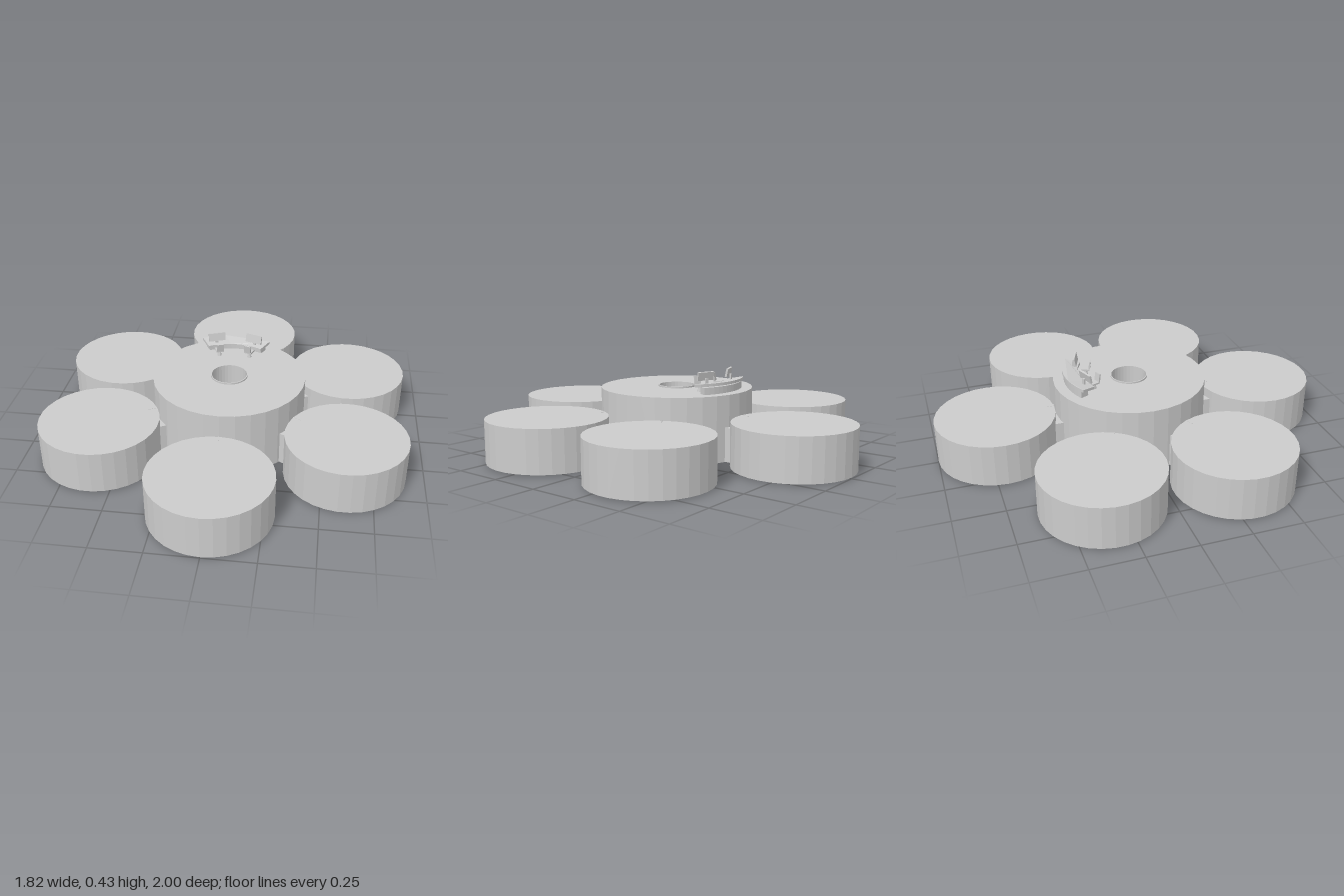
import * as THREE from 'three';

const grey = new THREE.MeshStandardMaterial({ color: 0xcccccc, flatShading: true, side: THREE.DoubleSide });
grey.name = 'light grey';

function add(parent, name, geometry, x = 0, y = 0, z = 0) {
  const mesh = new THREE.Mesh(geometry, grey);
  mesh.name = name;
  mesh.position.set(x, y, z);
  parent.add(mesh);
  return mesh;
}

// Curved slab centred on the back of the hub
function arcSlab(inner, outer, halfAngle, height) {
  const shape = new THREE.Shape();
  shape.absarc(0, 0, outer, Math.PI / 2 - halfAngle, Math.PI / 2 + halfAngle, false);
  shape.absarc(0, 0, inner, Math.PI / 2 + halfAngle, Math.PI / 2 - halfAngle, true);
  shape.closePath();
  return new THREE.ExtrudeGeometry(shape, { depth: height, bevelEnabled: false, curveSegments: 6 })
    .rotateX(-Math.PI / 2);
}

export function createModel() {
  const model = new THREE.Group();
  model.name = 'modularBase';

  // Central hub with an open shaft and a low rim
  const profile = [[0, 0], [0.39, 0], [0.39, 0.33], [0.095, 0.33], [0.095, 0.338],
    [0.09, 0.338], [0.09, 0.01], [0, 0.01]].map(([r, y]) => new THREE.Vector2(r, y));
  add(model, 'hub', new THREE.LatheGeometry(profile, 32));

  // Six round pods, each with a short passage to the hub
  const centres = [[0, 0.7], [0.61, 0.325], [0.61, -0.325], [0, -0.7], [-0.61, -0.325], [-0.61, 0.325]];
  for (const [x, z] of centres) {
    const pod = new THREE.Group();
    pod.name = 'pod';
    pod.rotation.y = Math.atan2(x, z);
    model.add(pod);
    const distance = Math.hypot(x, z);
    add(pod, 'podDrum', new THREE.CylinderGeometry(0.3, 0.3, 0.215, 32), 0, 0.1125, distance);
    add(pod, 'passage', new THREE.BoxGeometry(0.2, 0.17, 0.12), 0, 0.086, 0.39);
    add(pod, 'doorEdge', new THREE.BoxGeometry(0.004, 0.2, 0.045), 0, 0.121, distance - 0.278);
  }

  // Control desk: plinth and overhanging worktop, tilted down to the front
  const desk = new THREE.Group();
  desk.name = 'controlDesk';
  model.add(desk);
  add(desk, 'deskPlinth', arcSlab(0.29, 0.335, 0.5, 0.035), 0, 0.33, 0);
  const top = arcSlab(0.262, 0.342, 0.56, 0.014);
  const p = top.attributes.position;
  for (let i = 0; i < p.count; i++) {
    const r = Math.hypot(p.getX(i), p.getZ(i));
    p.setY(i, p.getY(i) + (r - 0.262) * 0.16);
  }
  add(desk, 'deskTop', top, 0, 0.358, 0);

  // Two workstations, each with a screen and a chair
  for (const side of [-1, 1]) {
    const station = new THREE.Group();
    station.name = side > 0 ? 'leftStation' : 'rightStation';
    station.rotation.y = -side * 0.37;
    model.add(station);
    add(station, 'screenStand', new THREE.BoxGeometry(0.015, 0.035, 0.01), 0, 0.387, -0.285);
    add(station, 'screen', new THREE.BoxGeometry(0.09, 0.042, 0.01), 0, 0.413, -0.274).rotation.x = -0.2;
    add(station, 'chairPost', new THREE.CylinderGeometry(0.006, 0.012, 0.03, 8), 0, 0.345, -0.222);
    add(station, 'chairSeat', new THREE.BoxGeometry(0.04, 0.008, 0.042), 0, 0.362, -0.222);
    add(station, 'chairBack', new THREE.BoxGeometry(0.036, 0.042, 0.008), 0, 0.385, -0.2).rotation.x = 0.15;
  }
  return model;
}
